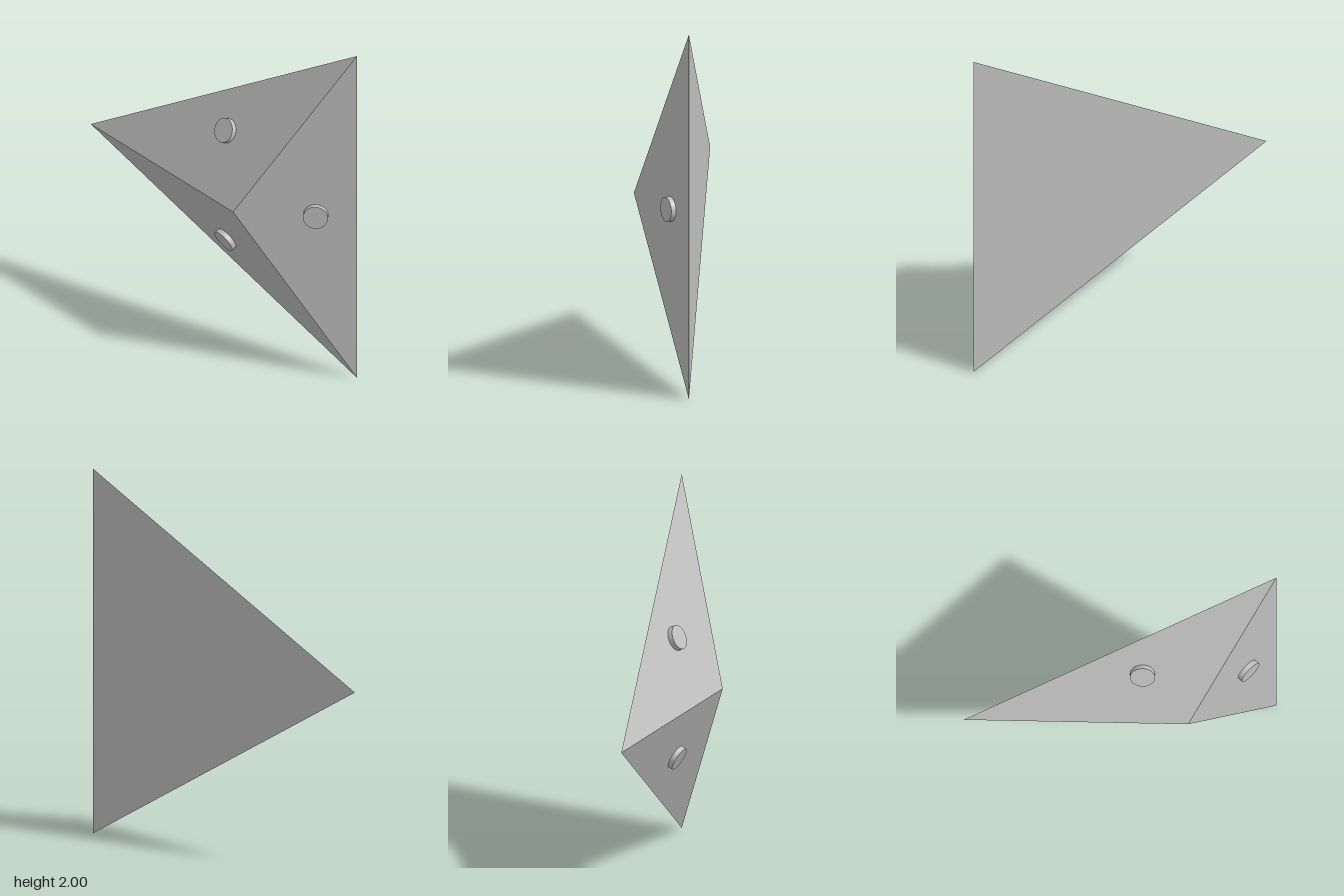
import * as THREE from 'three';

export function createModel() {
  const group = new THREE.Group();
  const grey = new THREE.MeshStandardMaterial({ color: 0xc0c0c0 });
  grey.name = 'plain grey';

  const edge = 2;                        // side of the triangular base
  const inradius = edge / (2 * Math.sqrt(3));
  const height = 1 / 3;
  const centreX = inradius / 2;          // the base triangle spans x = -0.87 to 0.87

  // Shallow three-sided pyramid, its tip facing forward and one corner pointing to -x
  let pyramidGeometry = new THREE.ConeGeometry(inradius * 2, height, 3);
  pyramidGeometry.rotateX(Math.PI / 2).rotateZ(-Math.PI / 2);
  pyramidGeometry = pyramidGeometry.toNonIndexed();
  pyramidGeometry.computeVertexNormals();
  const pyramid = new THREE.Mesh(pyramidGeometry, grey);
  pyramid.name = 'pyramidBody';
  pyramid.position.set(centreX, 1, 0);
  group.add(pyramid);

  // One round stud at the centroid of each sloping face, partly sunk into it
  const visible = 0.028, sunk = 0.02;
  const studGeometry = new THREE.CylinderGeometry(0.067, 0.067, visible + sunk, 48);
  studGeometry.translate(0, (visible - sunk) / 2, 0);
  const up = new THREE.Vector3(0, 1, 0);
  for (let i = 0; i < 3; i++) {
    const a = (i * Math.PI * 2) / 3;
    const normal = new THREE.Vector3(height * Math.cos(a), height * Math.sin(a), inradius).normalize();
    const reach = (inradius * 2) / 3;
    const stud = new THREE.Mesh(studGeometry, grey);
    stud.name = ['leftStud', 'upperStud', 'lowerStud'][i];
    stud.position.set(centreX + reach * Math.cos(a), 1 + reach * Math.sin(a), -height / 6);
    stud.quaternion.setFromUnitVectors(up, normal);
    group.add(stud);
  }
  return group;
}
